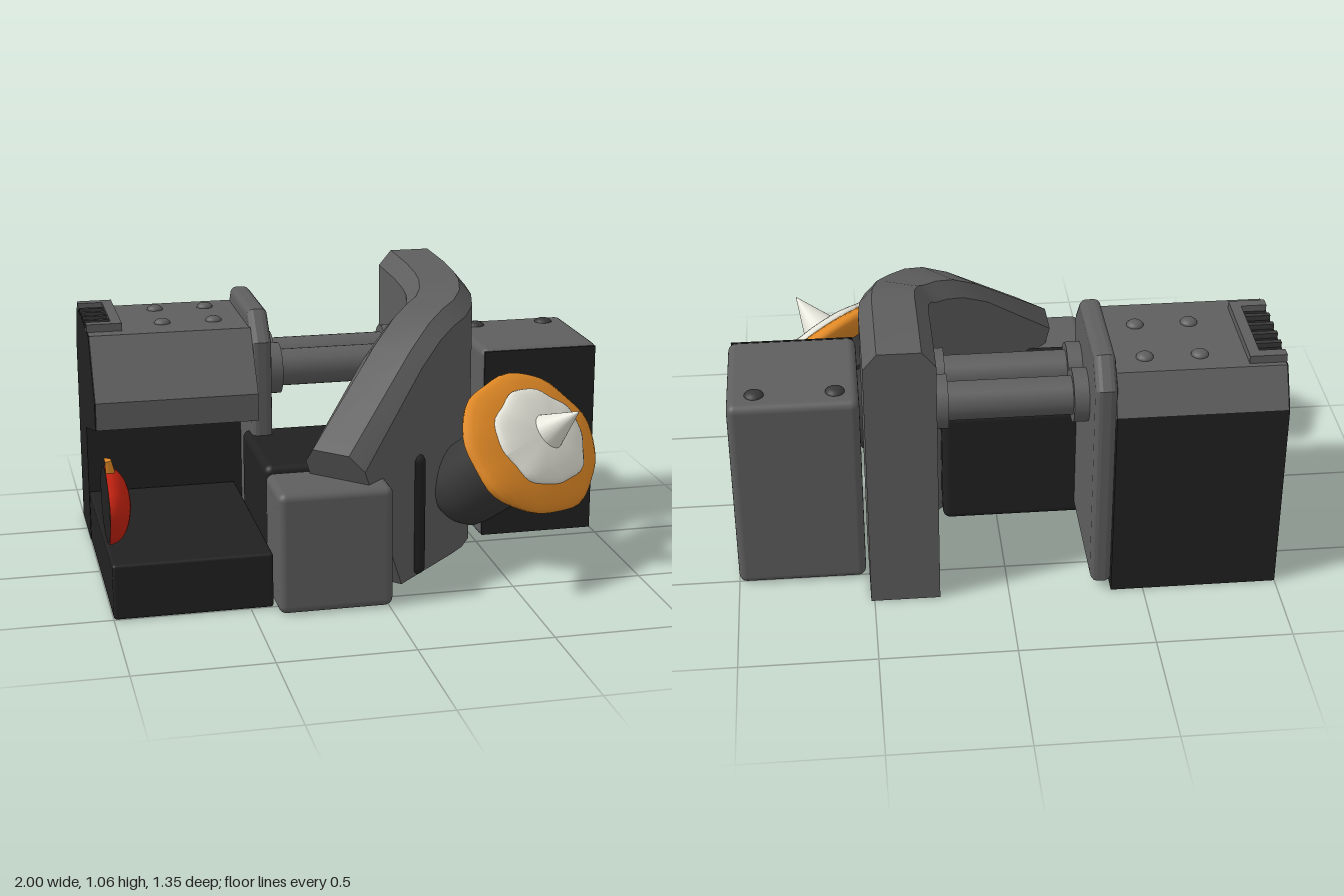
import * as THREE from 'three';
import { toCreasedNormals } from 'three/addons/utils/BufferGeometryUtils.js';
import { RoundedBoxGeometry } from 'three/addons/geometries/RoundedBoxGeometry.js';

const mat = (name, color, extra = {}) => {
  const m = new THREE.MeshStandardMaterial({ color, ...extra });
  m.name = name;
  return m;
};

export function createModel() {
  const root = new THREE.Group();
  const gray = mat('gray metal', 0x5e5e5e);
  const dark = mat('dark gray', 0x383838);
  const black = mat('black', 0x212121);
  const orange = mat('orange', 0xe28a26);
  const white = mat('off white', 0xe4e4d9);
  const red = mat('red', 0xcc2412);

  const add = (name, geo, m, parent = root) => {
    const mesh = new THREE.Mesh(geo, m);
    mesh.name = name;
    parent.add(mesh);
    return mesh;
  };
  // box given by its limits on each axis
  const box = (name, m, x0, x1, y0, y1, z0, z1, r = 0) => {
    const s = [x1 - x0, y1 - y0, z1 - z0];
    const g = r ? new RoundedBoxGeometry(...s, 3, r) : new THREE.BoxGeometry(...s);
    return add(name, g.translate((x0 + x1) / 2, (y0 + y1) / 2, (z0 + z1) / 2), m);
  };
  // profile of [z, y] points extruded along x
  const slab = (name, m, pts, x0, x1, bevel = 0) => {
    const shape = new THREE.Shape(pts.map(([z, y]) => new THREE.Vector2(-z, y)));
    const g = new THREE.ExtrudeGeometry(shape, {
      depth: x1 - x0 - 2 * bevel, bevelEnabled: bevel > 0, bevelSize: bevel,
      bevelThickness: bevel, bevelOffset: -bevel, bevelSegments: 3,
    });
    g.rotateY(Math.PI / 2).translate(x0 + bevel, 0, 0);
    return add(name, g, m);
  };
  const dome = (name, x, y, z, r, m) =>
    add(name, new THREE.SphereGeometry(r, 16, 6, 0, Math.PI * 2, 0, Math.PI / 2).scale(1, 0.6, 1), m)
      .position.set(x, y, z);

  // housing: gray upper hull, black lower body and black end
  const upper = [[-0.68, 0.76], [-0.6, 0.9], [-0.12, 0.9], [0.04, 0.68], [0.04, 0.575], [-0.36, 0.47], [-0.5, 0.6]];
  slab('upperHull', gray, upper, -0.995, -0.38);
  slab('hullEnd', black, upper, -1, -0.995);
  slab('lowerHull', black, [[-0.68, 0], [-0.68, 0.76], [-0.5, 0.6], [-0.36, 0.47], [-0.36, 0]], -1, -0.38);
  slab('endPlate', gray, [[-0.66, 0.03], [-0.66, 0.86], [-0.57, 0.96], [-0.17, 0.96], [-0.07, 0.85],
    [-0.07, 0.14], [-0.16, 0.03]], -0.385, -0.305, 0.025);
  for (const x of [-0.7, -0.5]) for (const z of [-0.5, -0.27]) dome('hullBolt', x, 0.9, z, 0.032, gray);

  // vent on top of the housing
  box('ventBed', black, -1, -0.9, 0.895, 0.905, -0.54, -0.22);
  box('ventSide', gray, -0.905, -0.865, 0.89, 0.93, -0.58, -0.18);
  for (const z of [-0.58, -0.22]) box('ventRim', gray, -1, -0.9, 0.89, 0.93, z, z + 0.04);
  for (let i = 0; i < 4; i++) {
    const z = -0.475 + i * 0.065;
    box('ventFin', dark, -1, -0.905, 0.9, 0.925, z - 0.01, z + 0.01);
  }

  // pistons between housing and arm
  for (const z of [-0.42, -0.235]) {
    const rod = (name, r, x0, x1) => add(name,
      new THREE.CylinderGeometry(r, r, x1 - x0, 28).rotateZ(Math.PI / 2).translate((x0 + x1) / 2, 0.705, z), gray);
    rod('pistonRod', 0.072, -0.31, 0.28);
    rod('pistonFlange', 0.1, -0.31, -0.25);
    rod('pistonFlange', 0.1, 0.205, 0.26);
  }

  // blocks on the ground
  box('basePlate', black, -1, -0.415, 0, 0.21, -0.35, 0.505, 0.012);
  box('innerBlock', black, -0.41, 0.21, 0, 0.48, -0.18, 0.32, 0.03);
  box('smallBlock', gray, -0.41, 0.015, 0, 0.46, 0.32, 0.595, 0.03);
  box('sideBlock', gray, 0.525, 1, 0, 0.78, -0.52, -0.045, 0.03);
  box('sideBlockFront', black, 0.535, 0.99, 0.01, 0.77, -0.048, -0.04);
  for (const x of [0.61, 0.9]) dome('sideBlockBolt', x, 0.775, -0.435, 0.037, dark);

  // curved arm: chamfered section swept along [x, z, top height]
  const path = [[0.385, -0.665, 1.06], [0.385, -0.4, 1.06], [0.385, -0.26, 1.05], [0.379, -0.17, 1.04],
    [0.36, -0.09, 1.02], [0.325, -0.03, 1.0], [0.27, 0.03, 0.985], [0.2, 0.1, 0.95], [0.1, 0.2, 0.87], [-0.2, 0.5, 0.575]];
  const pos = [], idx = [], w = 0.128, n = 6, last = path.length - 1;
  path.forEach(([x, z, top], i) => {
    const a = path[Math.max(0, i - 1)], b = path[Math.min(last, i + 1)];
    const len = Math.hypot(b[0] - a[0], b[1] - a[1]);
    const tx = (b[0] - a[0]) / len, tz = (b[1] - a[1]) / len;
    const section = [[-w, 0], [-w, top - 0.06], [-w + 0.05, top], [w - 0.05, top], [w, top - 0.06], [w, 0]];
    for (const [u, y] of section) {
      const back = i === last ? 0.29 * (1 - y / top) : 0; // free end leans back toward the ground
      pos.push(x + tz * u - tx * back, y, z - tx * u - tz * back);
    }
    if (i < last) for (let k = 0; k < n; k++) {
      const p = i * n + k, q = i * n + (k + 1) % n;
      idx.push(p, p + n, q, q, p + n, q + n);
    }
  });
  for (let k = 1; k < n - 1; k++) {
    idx.push(0, k, k + 1);
    idx.push(last * n, last * n + k + 1, last * n + k);
  }
  const arm = new THREE.BufferGeometry();
  arm.setAttribute('position', new THREE.Float32BufferAttribute(pos, 3));
  arm.setIndex(idx);
  const armMat = gray.clone();
  armMat.side = THREE.DoubleSide;
  add('curvedArm', toCreasedNormals(arm, 0.5), armMat);

  // flattened ellipsoid with a wavy rim
  const wavy = (a, h, b, amp, phase) => {
    const g = new THREE.SphereGeometry(1, 48, 16), p = g.attributes.position;
    for (let i = 0; i < p.count; i++) {
      const x = p.getX(i), z = p.getZ(i), t = Math.atan2(z, x);
      const k = 1 + amp * (Math.sin(5 * t + phase) + 0.6 * Math.sin(9 * t + 2 * phase));
      p.setXYZ(i, x * a * k, p.getY(i) * h, z * b * k);
    }
    g.computeVertexNormals();
    return g;
  };

  // tilted barrel with a wavy disc, pale centre and spike
  const barrel = new THREE.Group();
  barrel.name = 'barrelWithDisc';
  const X = new THREE.Vector3(1, 0, -1).normalize();
  const Y = new THREE.Vector3(0.555, 0.62, 0.555).normalize();
  barrel.quaternion.setFromRotationMatrix(new THREE.Matrix4().makeBasis(X, Y, X.clone().cross(Y)));
  barrel.position.set(0.61, 0.51, 0.34);
  root.add(barrel);
  const lathe = (pts) => toCreasedNormals(
    new THREE.LatheGeometry(pts.map(([r, y]) => new THREE.Vector2(r, y)), 32), 0.6);
  add('barrelBody', lathe([[0, -0.46], [0.08, -0.455], [0.125, -0.435], [0.15, -0.4], [0.16, -0.34],
    [0.165, -0.16], [0.18, -0.15], [0.185, -0.05], [0.185, 0]]), dark, barrel);
  add('orangeDisc', wavy(0.425, 0.065, 0.285, 0.018, 0.7), orange, barrel);
  add('paleCentre', wavy(0.28, 0.045, 0.195, 0.03, 2.1).translate(0, 0.05, 0), white, barrel);
  add('spike', new THREE.ConeGeometry(0.085, 0.19, 28).translate(0, 0.155, 0), white, barrel);

  // halved red bulb with a short stem and black cut face
  const bulb = new THREE.Group();
  bulb.name = 'redBulb';
  bulb.position.set(-1, 0.385, 0.335);
  root.add(bulb);
  const half = new THREE.SphereGeometry(1, 20, 14, 0, Math.PI * 2, 0, Math.PI / 2).rotateZ(-Math.PI / 2);
  const hp = half.attributes.position;
  for (let i = 0; i < hp.count; i++) {
    const t = Math.atan2(hp.getY(i), hp.getZ(i)), k = 1 + 0.05 * Math.sin(5 * t + 0.5);
    hp.setXYZ(i, hp.getX(i) * 0.09, hp.getY(i) * 0.14 * k, hp.getZ(i) * 0.17 * k);
  }
  half.computeVertexNormals();
  add('bulbBody', half, red, bulb);
  add('bulbCut', new THREE.CircleGeometry(1, 24).rotateY(-Math.PI / 2).scale(1, 0.138, 0.167), black, bulb);
  add('bulbStem', new THREE.CylinderGeometry(0.025, 0.045, 0.08, 16, 1, false, 0, Math.PI)
    .translate(0, 0.135, 0.02), orange, bulb);
  return root;
}
